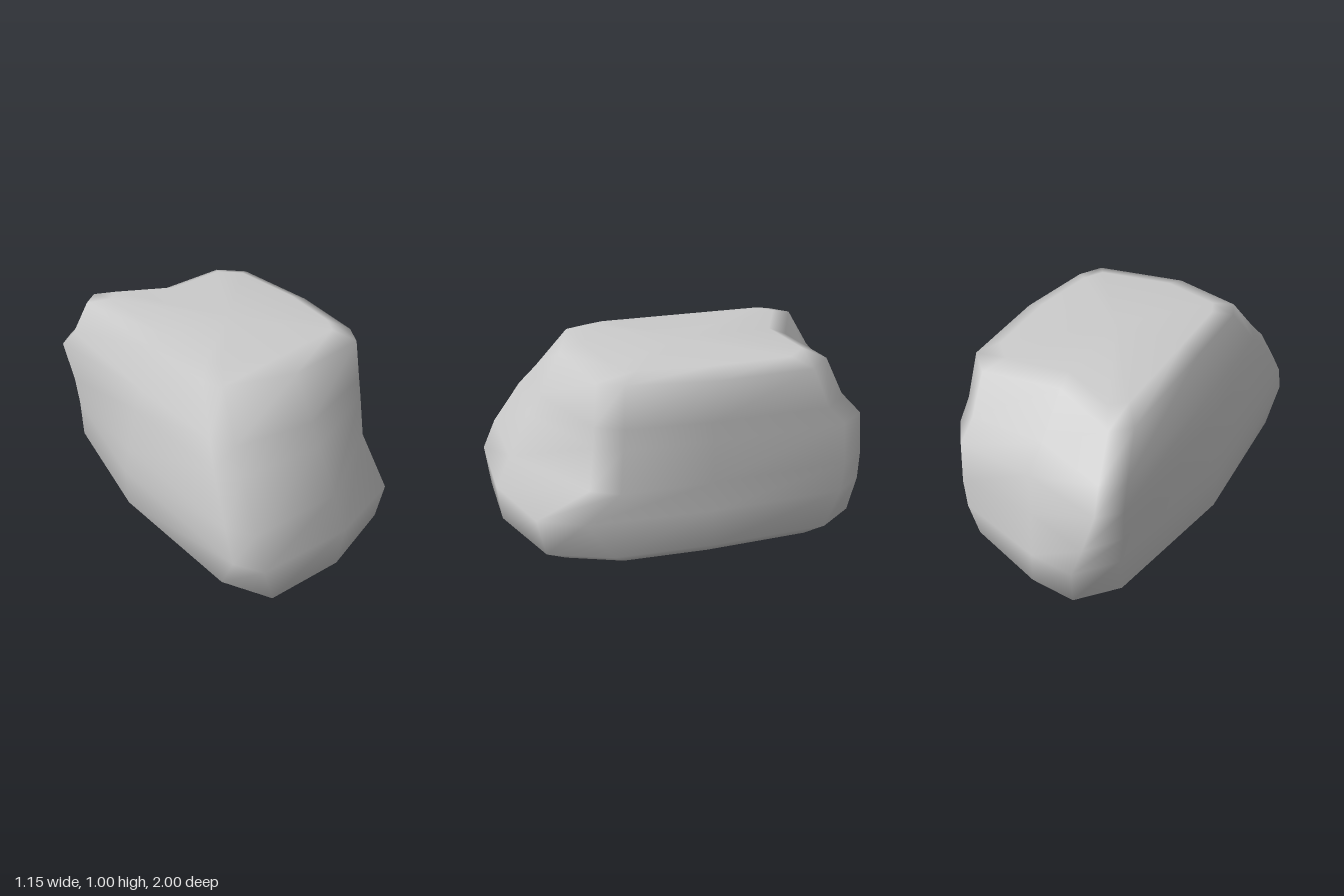
import * as THREE from 'three';

// Horizontal cross-sections, twelve [x, z] corners each: front left corner,
// along the front, down the +x side, across the back and up the -x side.
const base = [[-.55, .75], [-.43, .98], [-.02, .97], [.4, .81], [.53, .5], [.56, 0],
  [.55, -.62], [.42, -.81], [0, -.96], [-.24, -.98], [-.41, -.8], [-.565, -.05]];
const belly = [[-.575, .87], [-.5, 1], [0, .99], [.41, .85], [.52, .63], [.565, 0],
  [.56, -.69], [.45, -.84], [-.02, -.98], [-.25, -1], [-.41, -.82], [-.575, -.05]];
const waist = [[-.575, .81], [-.49, .93], [-.01, .91], [.48, .6], [.555, .46], [.57, 0],
  [.565, -.7], [.46, -.84], [.04, -.88], [-.3, -.98], [-.43, -.82], [-.575, 0]];
const ledge = [[-.53, .66], [-.46, .78], [-.02, .8], [.47, .57], [.54, .44], [.57, 0],
  [.565, -.68], [.46, -.82], [.05, -.86], [-.36, -.96], [-.46, -.87], [-.53, 0]];
const upper = [[-.485, .57], [-.43, .69], [-.02, .74], [.46, .56], [.53, .43], [.57, 0],
  [.565, -.59], [.45, -.72], [.05, -.73], [-.33, -.87], [-.43, -.78], [-.487, 0]];
const shoulder = [[-.415, .42], [-.375, .52], [-.02, .62], [.44, .54], [.51, .42], [.575, 0],
  [.56, -.5], [.44, -.62], [.04, -.57], [-.31, -.74], [-.4, -.66], [-.41, 0]];

// Pull a section towards a centre to make a chamfered rim
const inset = (ring, s, cx, cz) => ring.map(([x, z]) => [cx + (x - cx) * s, cz + (z - cz) * s]);

function loft(sections) {
  const pos = [], index = [];
  const n = sections[0].ring.length;
  for (const { y, ring } of sections) for (const [x, z] of ring) pos.push(x, y, z);

  // Walls between neighbouring sections
  for (let r = 0; r < sections.length - 1; r++) {
    for (let i = 0; i < n; i++) {
      const a = r * n + i, b = r * n + (i + 1) % n;
      index.push(a, b, b + n, a, b + n, a + n);
    }
  }

  // Flat underside and top, each a fan round a middle point
  const last = (sections.length - 1) * n;
  const bottom = pos.length / 3, top = bottom + 1;
  pos.push(0, sections[0].y, 0, .05, sections[sections.length - 1].y, 0);
  for (let i = 0; i < n; i++) {
    const j = (i + 1) % n;
    index.push(bottom, j, i, top, last + i, last + j);
  }

  const geometry = new THREE.BufferGeometry();
  geometry.setAttribute('position', new THREE.Float32BufferAttribute(pos, 3));
  geometry.setIndex(index);
  geometry.computeVertexNormals();
  return geometry;
}

export function createModel() {
  const group = new THREE.Group();
  group.name = 'rock';
  const boulder = new THREE.Mesh(
    loft([
      { y: 0, ring: inset(base, .87, 0, 0) },
      { y: .07, ring: base },
      { y: .27, ring: belly },
      { y: .43, ring: waist },
      { y: .65, ring: ledge },
      { y: .75, ring: upper },
      { y: .96, ring: shoulder },
      { y: 1, ring: inset(shoulder, .82, .06, -.05) },
    ]),
    new THREE.MeshStandardMaterial({ color: 0xcccccc })
  );
  boulder.name = 'boulder';
  group.add(boulder);
  return group;
}
